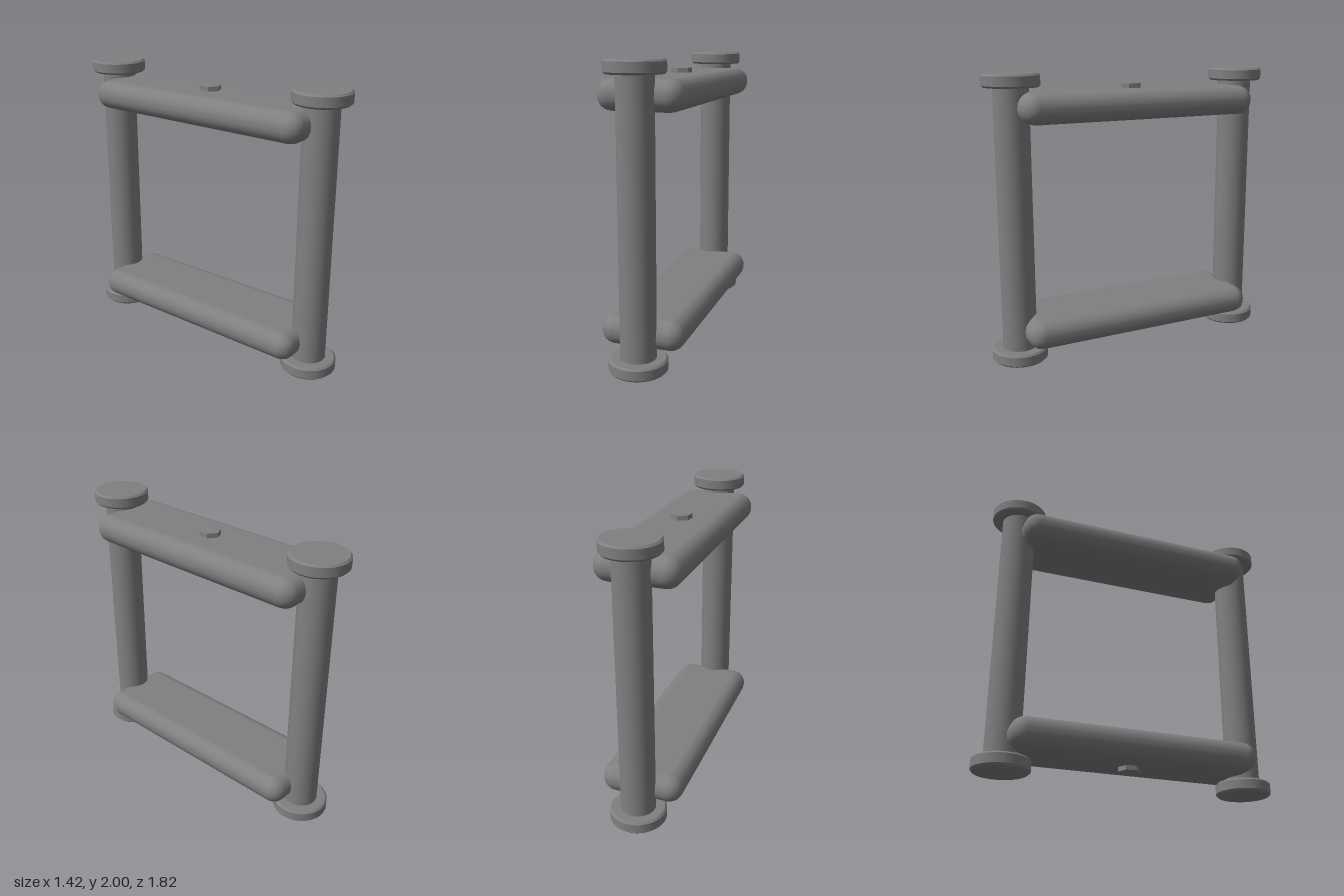
import * as THREE from 'three';
import { toCreasedNormals } from 'three/addons/utils/BufferGeometryUtils.js';
import { RoundedBoxGeometry } from 'three/addons/geometries/RoundedBoxGeometry.js';

const POST_X = 0.515, POST_Z = 0.715;

export function createModel() {
  const model = new THREE.Group();
  const material = new THREE.MeshStandardMaterial({ color: 0x808080 });

  const add = (name, geometry, x, y, z, rotY = 0) => {
    const mesh = new THREE.Mesh(geometry, material);
    mesh.name = name;
    mesh.position.set(x, y, z);
    mesh.rotation.y = rotY;
    model.add(mesh);
  };

  // End disc with chamfered rims, centred on its own height
  const r = 0.195, h = 0.045, c = 0.013;
  const profile = [[0, -h], [r - c, -h], [r, -h + c], [r, h - c], [r - c, h], [0, h]]
    .map(([x, y]) => new THREE.Vector2(x, y));
  const disc = toCreasedNormals(new THREE.LatheGeometry(profile, 48), 0.5);

  const post = new THREE.CylinderGeometry(0.12, 0.12, 1.86, 48);
  const plate = new RoundedBoxGeometry(1.76, 0.206, 0.58, 3, 0.1);
  const bolt = toCreasedNormals(new THREE.CylinderGeometry(0.075, 0.075, 0.07, 6), 0.5);

  // Two posts on a diagonal, each capped with a disc at both ends
  for (const [side, s] of [['front', 1], ['back', -1]]) {
    add(`${side}Post`, post, s * POST_X, 1, s * POST_Z);
    add(`${side}BottomDisc`, disc, s * POST_X, h, s * POST_Z);
    add(`${side}TopDisc`, disc, s * POST_X, 2 - h, s * POST_Z);
  }

  // Rounded plates joining the posts, each with a hex bolt on its outer face
  const angle = -Math.atan2(POST_Z, POST_X);
  for (const [level, s] of [['upper', 1], ['lower', -1]]) {
    add(`${level}Plate`, plate, 0, 1 + s * 0.775, 0, angle);
    add(`${level}HexBolt`, bolt, 0, 1 + s * 0.876, 0, Math.PI / 2);
  }
  return model;
}
